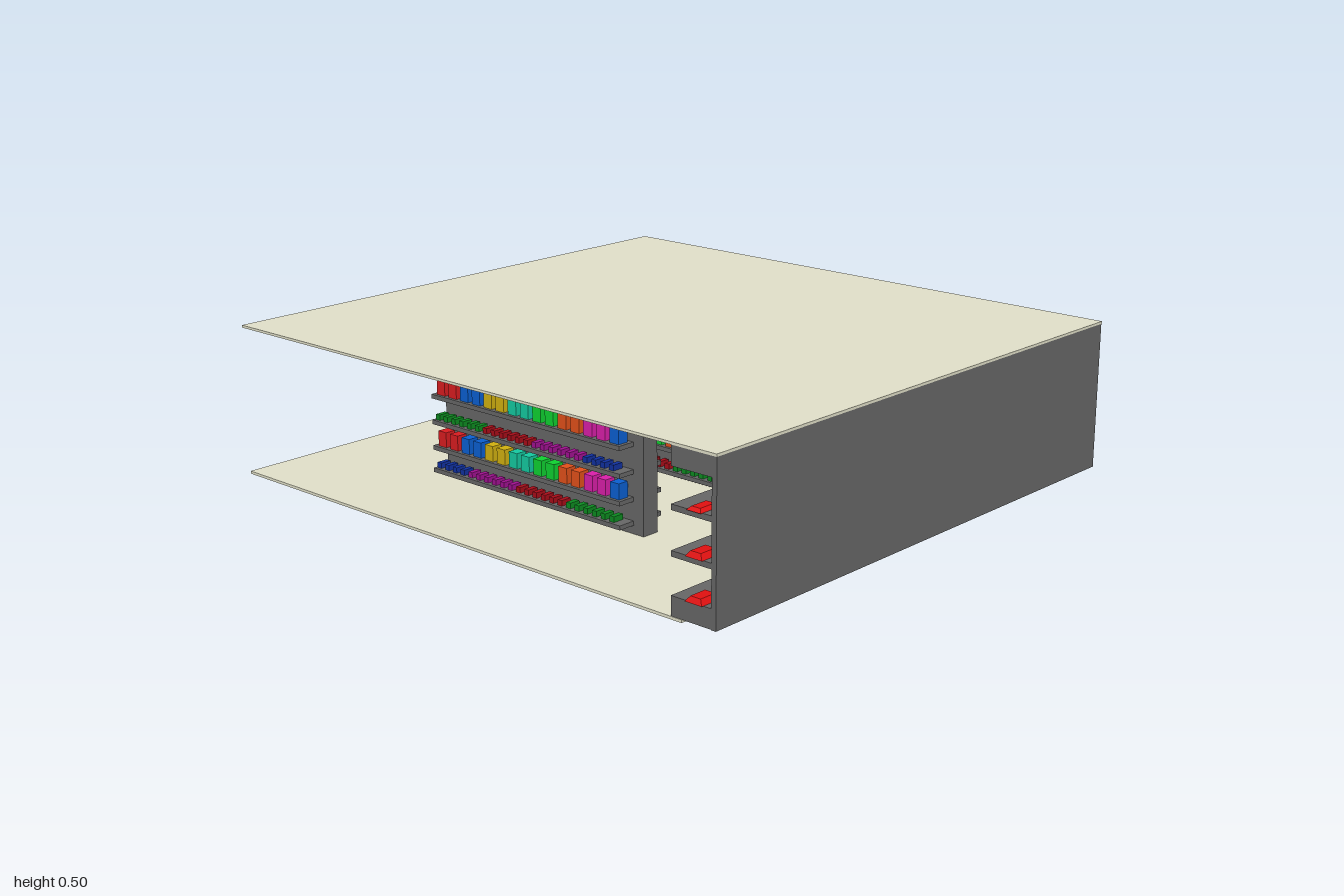
import * as THREE from 'three';

const mats = {};
const material = (color) => (mats[color] ??= new THREE.MeshStandardMaterial({ color }));
const DARK = 0x666666, CREAM = 0xe0dfc8;
const BLUE = 0x0a5fd0, PINK = 0xd81fa8, ORANGE = 0xe0501a, GREEN = 0x0fd030;
const TEAL = 0x14c8a0, YELLOW = 0xd0b010, RED = 0xd81c20;
const NAVY = 0x1030a0, PURPLE = 0xa01090, CRIMSON = 0xa80c18, LEAF = 0x0c8a20;

// Box given by its minimum and maximum corners
function box(parent, name, color, [x0, y0, z0], [x1, y1, z1]) {
  const mesh = new THREE.Mesh(new THREE.BoxGeometry(x1 - x0, y1 - y0, z1 - z0), material(color));
  mesh.position.set((x0 + x1) / 2, (y0 + y1) / 2, (z0 + z1) / 2);
  mesh.name = name;
  parent.add(mesh);
  return mesh;
}

// Low pack whose top is narrower than its base
function packGeometry(width, height, depth) {
  const geometry = new THREE.BoxGeometry(width, height, depth);
  const p = geometry.attributes.position;
  for (let i = 0; i < p.count; i++) {
    if (p.getY(i) > 0) p.setXYZ(i, p.getX(i) * 0.75, p.getY(i), p.getZ(i) * 0.6);
  }
  const flat = geometry.toNonIndexed();
  flat.computeVertexNormals();
  return flat;
}

// Expand [color, count] runs into a list
const runs = (list) => list.flatMap(([color, n]) => Array(n).fill(color));

const cartons = runs([[BLUE, 1], [PINK, 2], [ORANGE, 2], [GREEN, 2], [TEAL, 2], [YELLOW, 2], [BLUE, 2], [RED, 2]]);
const upperTins = runs([[NAVY, 4], [PURPLE, 6], [CRIMSON, 6], [LEAF, 6]]);
const lowerTins = runs([[LEAF, 6], [CRIMSON, 6], [PURPLE, 6], [NAVY, 4]]);
const rows = [
  { y: 0.05, height: 0.018, width: 0.018, step: 0.0363, start: 0.288, goods: lowerTins },
  { y: 0.125, height: 0.05, width: 0.036, step: 0.054, start: 0.3, goods: cartons },
  { y: 0.21, height: 0.018, width: 0.018, step: 0.0363, start: 0.288, goods: upperTins },
  { y: 0.295, height: 0.05, width: 0.036, step: 0.054, start: 0.3, goods: cartons },
];

// Double-sided shelf unit around a central panel
function aisle(x) {
  const unit = new THREE.Group();
  unit.name = 'aisleShelving';
  unit.position.x = x;
  box(unit, 'centrePanel', DARK, [-0.03, 0.008, -0.49], [0.03, 0.352, 0.37]);
  for (const row of rows) {
    for (const side of [-1, 1]) {
      const span = (a, b) => (side > 0 ? [a, b] : [-b, -a]);
      const [s0, s1] = span(0.03, 0.09);
      box(unit, 'aisleShelf', DARK, [s0, row.y - 0.014, -0.49], [s1, row.y, 0.33]);
      const [g0, g1] = span(0.042, 0.08);
      row.goods.forEach((color, i) => {
        const z = row.start - i * row.step;
        box(unit, 'shelfGoods', color,
          [g0, row.y, z - row.width / 2], [g1, row.y + row.height, z + row.width / 2]);
      });
    }
  }
  return unit;
}

// Wall cabinet along the front, open to the inside and at both ends
function wallCabinet() {
  const unit = new THREE.Group();
  unit.name = 'wallCabinet';
  const w = 0.938;
  box(unit, 'backWall', DARK, [-w, 0.008, 0.982], [w, 0.49, 0.999]);
  box(unit, 'cabinetBase', DARK, [-w, 0.009, 0.84], [w, 0.068, 0.982]);
  box(unit, 'cabinetHeader', DARK, [-w, 0.43, 0.84], [w, 0.489, 0.982]);
  for (const y of [0.195, 0.325]) {
    box(unit, 'cabinetShelf', DARK, [-w, y - 0.017, 0.84], [w, y, 0.982]);
  }
  // Rows of packs on the base and the shelves
  const pack = packGeometry(0.078, 0.016, 0.06);
  for (const y of [0.068, 0.195, 0.325]) {
    for (let i = 0; i < 15; i++) {
      const pale = y === 0.195 && i > 11;
      const mesh = new THREE.Mesh(pack, material(pale ? 0xcccccc : 0xe01010));
      mesh.name = 'pack';
      mesh.position.set(-0.906 + i * 0.125, y + (y > 0.3 ? 0.005 : 0.008), 0.925);
      if (y > 0.3) mesh.scale.set(1, 0.65, 0.85);
      unit.add(mesh);
    }
  }
  return unit;
}

export function createModel() {
  const model = new THREE.Group();
  model.name = 'shopInterior';
  box(model, 'floor', CREAM, [-0.94, 0, -1], [0.94, 0.009, 0.88]);
  box(model, 'ceiling', CREAM, [-0.94, 0.489, -1], [0.94, 0.497, 1]);
  model.add(wallCabinet());
  for (const x of [-0.51, -0.03, 0.45]) model.add(aisle(x));
  return model;
}
